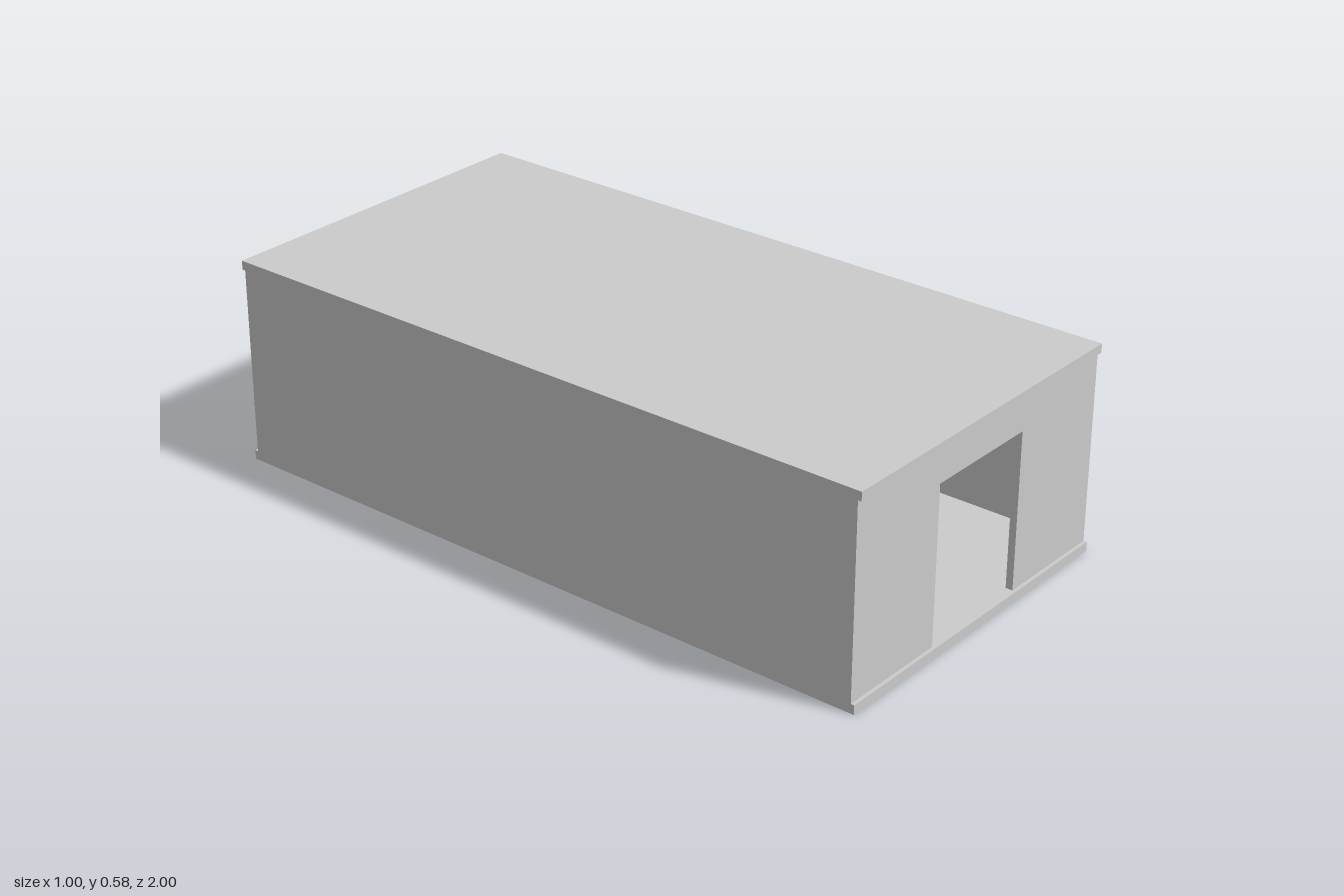
import * as THREE from 'three';

const grey = new THREE.MeshStandardMaterial({ color: 0xcccccc });
const wood = new THREE.MeshStandardMaterial({ color: 0x8b7d66 });
const red = new THREE.MeshStandardMaterial({ color: 0xa85648 });

// Box given by its lower and upper limits on each axis
function box(parent, name, [x0, x1], [y0, y1], [z0, z1], material = grey) {
  const mesh = new THREE.Mesh(new THREE.BoxGeometry(x1 - x0, y1 - y0, z1 - z0), material);
  mesh.position.set((x0 + x1) / 2, (y0 + y1) / 2, (z0 + z1) / 2);
  mesh.name = name;
  parent.add(mesh);
  return mesh;
}

function group(parent, name) {
  const g = new THREE.Group();
  g.name = name;
  parent.add(g);
  return g;
}

// End wall with an open doorway
function endWall(z) {
  const s = new THREE.Shape();
  const w = 0.5, d = 0.173, y0 = 0.026, y1 = 0.558, top = 0.466;
  s.moveTo(-w, y0);
  [[-d, y0], [-d, top], [d, top], [d, y0], [w, y0], [w, y1], [-w, y1]].forEach(([x, y]) => s.lineTo(x, y));
  s.closePath();
  const geo = new THREE.ExtrudeGeometry(s, { depth: 0.02, bevelEnabled: false });
  const mesh = new THREE.Mesh(geo, grey);
  mesh.position.z = z;
  return mesh;
}

export function createModel() {
  const model = new THREE.Group();
  model.name = 'hall';

  // Shell
  box(model, 'floorSlab', [-0.5, 0.5], [0, 0.026], [-1, 1]);
  box(model, 'roofSlab', [-0.5, 0.5], [0.558, 0.583], [-1, 1]);
  box(model, 'leftWall', [0.48, 0.5], [0.026, 0.558], [-0.97, 0.97]);
  box(model, 'rightWall', [-0.5, -0.48], [0.026, 0.558], [-0.97, 0.97]);
  const front = endWall(0.97);
  front.name = 'frontWall';
  const back = endWall(-0.99);
  back.name = 'backWall';
  model.add(front, back);

  // Boarded ceiling with cross joists
  const ceiling = group(model, 'ceiling');
  box(ceiling, 'ceilingBoards', [-0.48, 0.48], [0.55, 0.558], [-0.97, 0.97], wood);
  for (let i = 0; i < 24; i++) {
    const z = -0.92 + i * 0.08;
    box(ceiling, 'joist', [-0.48, 0.48], [0.532, 0.55], [z - 0.015, z + 0.015], wood);
  }

  // Slatted rack on the right wall
  const rack = group(model, 'wallRack');
  for (let i = 0; i < 16; i++) {
    const z = 0.06 + i * 0.037;
    box(rack, 'slat', [-0.475, -0.462], [0.026, 0.4], [z, z + 0.022], wood);
  }
  for (let i = 0; i < 8; i++) {
    const y = 0.05 + i * 0.046;
    box(rack, 'rail', [-0.48, -0.47], [y, y + 0.012], [0.06, 0.637], wood);
  }

  // Low platform of separate panels along the right side
  const platform = group(model, 'platform');
  for (const [z0, z1] of [[0.37, 0.7], [0.03, 0.36]]) {
    for (const [x0, x1] of [[-0.455, -0.333], [-0.323, -0.2]]) {
      box(platform, 'panelBase', [x0 + 0.005, x1 - 0.005], [0.026, 0.035], [z0 + 0.005, z1 - 0.005]);
      box(platform, 'panel', [x0, x1], [0.035, 0.043], [z0, z1]);
    }
  }

  // Red topped step deeper in the hall
  const step = group(model, 'redStep');
  box(step, 'stepBase', [-0.3, -0.105], [0.026, 0.035], [-0.24, -0.06]);
  box(step, 'stepTop', [-0.3, -0.1], [0.035, 0.043], [-0.25, -0.05], red);

  // Central pedestal
  box(model, 'pedestal', [-0.04, 0.04], [0.026, 0.147], [-0.04, 0.04]);

  return model;
}
